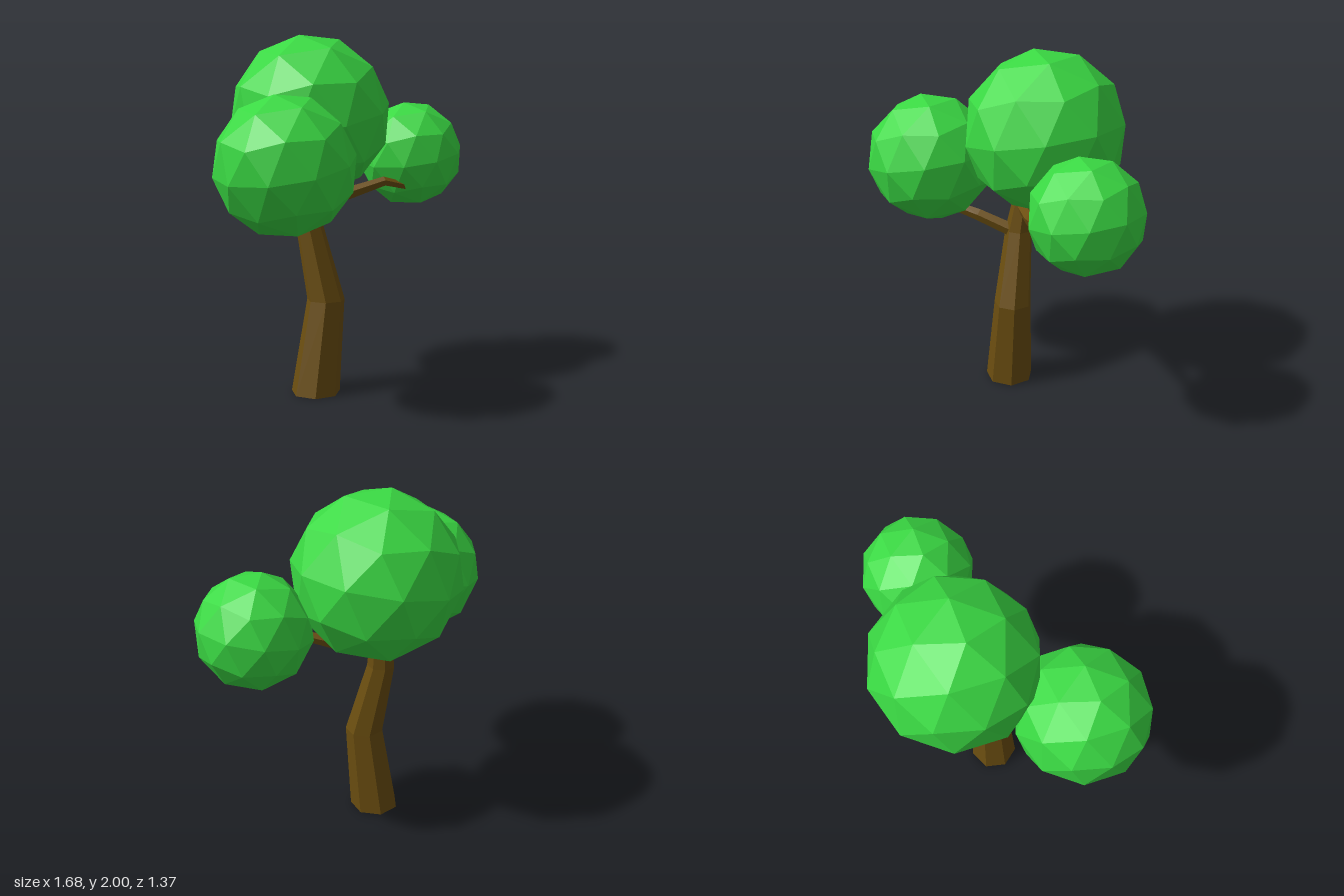
import * as THREE from 'three';

const V = (x, y, z) => new THREE.Vector3(x, y, z);
const leafMat = new THREE.MeshStandardMaterial({ color: 0x3ad943, flatShading: true });
const barkMat = new THREE.MeshStandardMaterial({ color: 0x6b4e10, flatShading: true });

// Tapered limb: rings of `sides` corners swept along [x, y, z, radius] stations.
// With level = true all rings stay horizontal, otherwise they follow the path.
function limb(name, stations, sides, level) {
  const centres = stations.map(([x, y, z]) => V(x, y, z));
  const last = centres.length - 1;
  const pos = [], idx = [];
  centres.forEach((c, k) => {
    const t = level ? V(0, 1, 0)
      : centres[Math.min(k + 1, last)].clone().sub(centres[Math.max(k - 1, 0)]).normalize();
    const u = level ? V(0, 0, -1) : V(0, 1, 0);
    u.addScaledVector(t, -u.dot(t)).normalize();
    const v = t.clone().cross(u);
    for (let i = 0; i < sides; i++) {
      const a = (i / sides) * Math.PI * 2, r = stations[k][3];
      const p = c.clone().addScaledVector(u, r * Math.cos(a)).addScaledVector(v, r * Math.sin(a));
      pos.push(p.x, p.y, p.z);
    }
  });
  for (let i = 0; i < sides; i++) {
    const j = (i + 1) % sides;
    for (let k = 0; k < last; k++) {
      const a = k * sides + i, b = k * sides + j;
      idx.push(a, b, b + sides, a, b + sides, a + sides);
    }
    // end caps
    if (i > 0 && i < sides - 1) {
      const top = last * sides;
      idx.push(0, j, i, top, top + i, top + j);
    }
  }
  const geo = new THREE.BufferGeometry();
  geo.setAttribute('position', new THREE.Float32BufferAttribute(pos, 3));
  geo.setIndex(idx);
  const flat = geo.toNonIndexed();
  flat.computeVertexNormals();
  const mesh = new THREE.Mesh(flat, barkMat);
  mesh.name = name;
  return mesh;
}

// Faceted ball turned so a face centre points along x and a corner leans just off the top
function leafGeometry() {
  const basis = (a, v) => {
    const b = v.clone().addScaledVector(a, -v.dot(a)).normalize();
    return new THREE.Matrix4().makeBasis(a, b, a.clone().cross(b));
  };
  const golden = (1 + Math.sqrt(5)) / 2;
  const from = basis(V(1, 1, 1).normalize(), V(0, 1, -golden).normalize());
  const to = basis(V(1, 0, 0), V(0, 0.995, 0.095));
  return new THREE.IcosahedronGeometry(1, 1).applyMatrix4(to.multiply(from.transpose()));
}

export function createModel() {
  const tree = new THREE.Group();
  tree.name = 'tree';

  // Trunk and side branches
  tree.add(limb('trunk', [
    [-0.16, 0, -0.05, 0.14],
    [-0.095, 0.53, -0.05, 0.108],
    [-0.17, 0.96, -0.11, 0.078],
    [-0.16, 1.2, -0.14, 0.055],
    [-0.13, 1.4, -0.19, 0.045],
  ], 7, true));
  tree.add(limb('leftBranch', [
    [-0.16, 1.1, -0.13, 0.04],
    [0.07, 1.115, -0.1, 0.037],
    [0.28, 1.178, -0.06, 0.028],
    [0.42, 1.145, -0.06, 0.022],
  ], 5, false));
  tree.add(limb('rightBranch', [
    [-0.17, 0.95, -0.08, 0.04],
    [-0.28, 1.03, 0.1, 0.035],
    [-0.34, 1.06, 0.19, 0.03],
    [-0.42, 1.13, 0.27, 0.026],
  ], 5, false));

  // Foliage balls
  const leaf = leafGeometry();
  for (const [name, x, y, z, r] of [
    ['topFoliage', -0.1, 1.556, -0.236, 0.455],
    ['rightFoliage', -0.497, 1.33, 0.317, 0.369],
    ['leftFoliage', 0.55, 1.316, -0.235, 0.311],
  ]) {
    const ball = new THREE.Mesh(leaf, leafMat);
    ball.name = name;
    ball.position.set(x, y, z);
    ball.scale.setScalar(r);
    tree.add(ball);
  }
  return tree;
}
